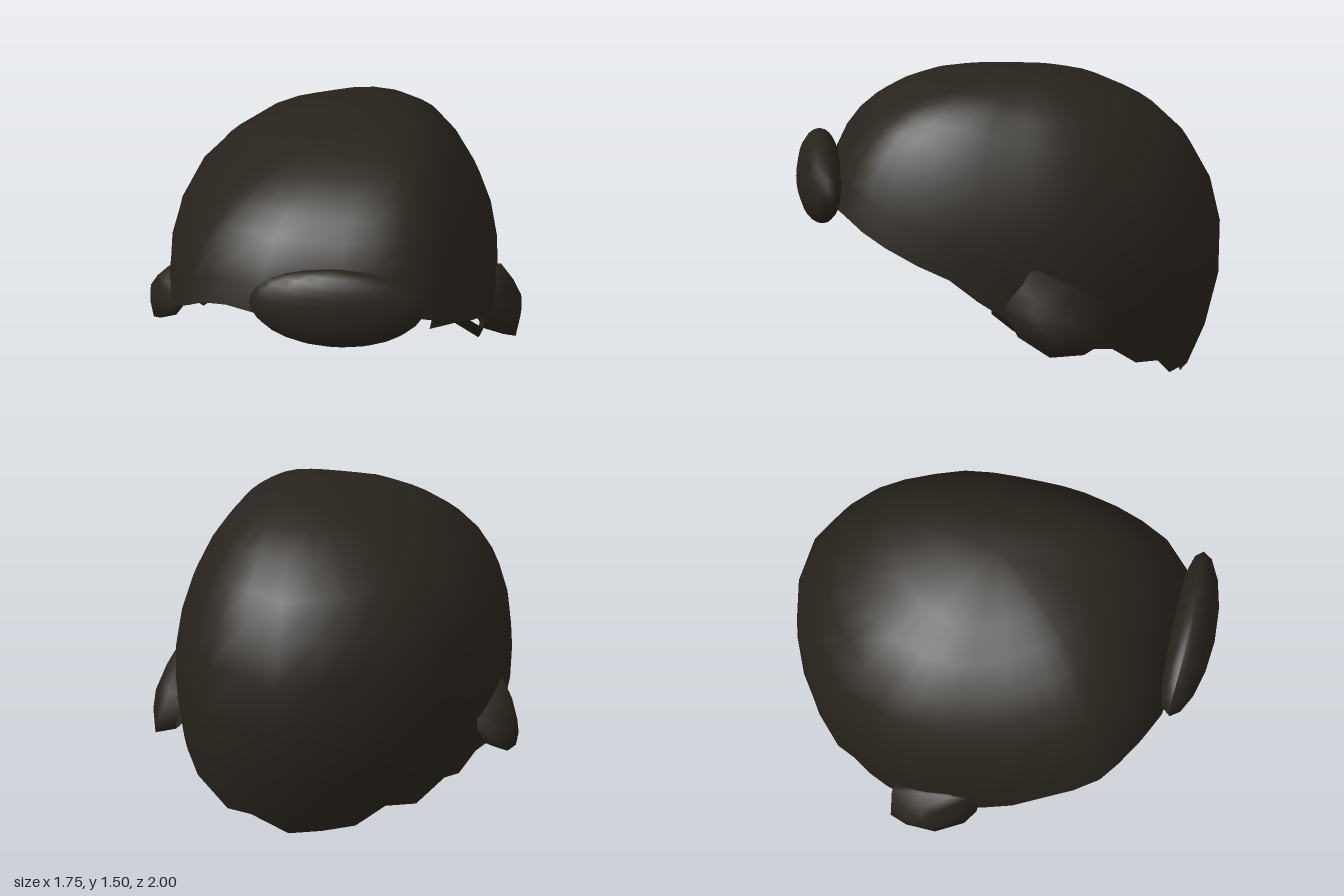
import * as THREE from 'three';
import { mergeVertices } from 'three/addons/utils/BufferGeometryUtils.js';

const material = new THREE.MeshStandardMaterial({ color: 0x28231c, side: THREE.DoubleSide });

// Skin a list of closed rings (each an array of [x, y, z]), smooth shaded
function loft(rings, name) {
  const n = rings[0].length, index = [];
  for (let i = 0; i < rings.length - 1; i++) {
    for (let j = 0; j < n; j++) {
      const k = (j + 1) % n;
      const a = i * n + j, b = i * n + k, c = a + n, d = b + n;
      index.push(a, b, d, a, d, c);
    }
  }
  let geometry = new THREE.BufferGeometry();
  geometry.setAttribute('position', new THREE.Float32BufferAttribute(rings.flat(2), 3));
  geometry.setIndex(index);
  geometry = mergeVertices(geometry, 1e-4);
  geometry.computeVertexNormals();
  const mesh = new THREE.Mesh(geometry, material);
  mesh.name = name;
  return mesh;
}

// Widest outline of the cap with the height of its ragged rim: [x, z, rimY]
const outline = [
  [0.12, 0.87, 0.9], [0.3, 0.86, 0.9], [0.47, 0.81, 0.9], [0.58, 0.71, 0.84],
  [0.64, 0.6, 0.78], [0.7, 0.45, 0.71], [0.74, 0.3, 0.65], [0.76, 0.17, 0.55],
  [0.77, 0.05, 0.47], [0.775, -0.08, 0.4], [0.77, -0.2, 0.34], [0.75, -0.35, 0.3],
  [0.7, -0.5, 0.28], [0.64, -0.64, 0.19], [0.57, -0.76, 0.18], [0.46, -0.87, 0.085],
  [0.3, -0.97, 0.09], [0.1, -1, 0], [-0.1, -0.97, 0.02], [-0.28, -0.9, 0.045],
  [-0.42, -0.82, 0.145], [-0.56, -0.7, 0.135], [-0.65, -0.55, 0.24], [-0.7, -0.45, 0.24],
  [-0.74, -0.35, 0.33], [-0.765, -0.2, 0.34], [-0.77, -0.08, 0.4], [-0.76, 0.05, 0.47],
  [-0.74, 0.2, 0.55], [-0.71, 0.34, 0.66], [-0.67, 0.48, 0.73], [-0.62, 0.6, 0.8],
  [-0.55, 0.68, 0.86], [-0.43, 0.77, 0.9], [-0.28, 0.84, 0.9], [-0.1, 0.86, 0.9],
];

// Open dome: each meridian rises from the rim to the crown, boxier at the front
function hairCap() {
  const rows = 9, waist = 0.65, midZ = -0.05, rings = [];
  for (let i = 0; i <= rows; i++) {
    rings.push(outline.map(([x, z, rimY]) => {
      const upper = 2.15 + 0.4 * Math.max(0, z) / 0.87;
      const shape = (s) => (s < 0 ? [1.08, 2] : [0.85, upper]);
      const [rimH, rimP] = shape(rimY - waist);
      const start = Math.sign(rimY - waist) * Math.asin((Math.abs(rimY - waist) / rimH) ** (rimP / 2));
      const a = THREE.MathUtils.lerp(start, Math.PI / 2, i / rows);
      const [h, p] = shape(a);
      const t = Math.sign(a) * Math.abs(Math.sin(a)) ** (2 / p);
      const f = Math.max(0, Math.cos(a)) ** (2 / p);
      const lean = 0.16 * Math.max(0, t) ** 4;
      return [lean + x * f, waist + h * t, midZ + (z - midZ) * f];
    }));
  }
  return loft(rings, 'hairCap');
}

// Flattened oval roll over the forehead, its ends bent slightly back
function frontRoll() {
  const geometry = new THREE.SphereGeometry(1, 16, 14);
  geometry.scale(0.415, 0.2, 0.108);
  const p = geometry.attributes.position;
  for (let i = 0; i < p.count; i++) p.setZ(i, p.getZ(i) - 0.17 * p.getX(i) ** 2);
  geometry.computeVertexNormals();
  const mesh = new THREE.Mesh(geometry, material);
  mesh.position.set(0.115, 0.985, 0.892);
  mesh.name = 'frontRoll';
  return mesh;
}

// Side tuft edge on the +x side: [x, y, z]
const tuftEdge = [
  [0.74, 0.6, 0.05], [0.77, 0.5, 0.04], [0.81, 0.39, -0.02], [0.855, 0.3, -0.17],
  [0.85, 0.31, -0.33], [0.83, 0.36, -0.42], [0.76, 0.54, -0.43],
  [0.77, 0.63, -0.27], [0.78, 0.71, -0.11], [0.75, 0.65, 0],
];

// Hollow bulging tuft, open towards the head
function sideTuft(name, side, place, depth) {
  const centre = [0.875, 0.49, -0.23];
  const toward = (k, shiftX) => tuftEdge.map((v) =>
    v.map((c, i) => c + (centre[i] - c) * k + (i === 0 ? shiftX : 0)));
  const rings = [toward(0.12, -depth), toward(0, 0), toward(0.5, 0.01), toward(1, 0)];
  const placed = rings.map((ring) => {
    const moved = ring.map(([x, y, z]) => [side * x, ...place(y, z)]);
    return side < 0 ? moved.reverse() : moved;
  });
  return loft(placed, name);
}

// Folded lock curling under the rim beside one tuft
function innerLock() {
  const edge = [[0.55, 0.73], [0.5, 0.51], [0.62, 0.55], [0.73, 0.48], [0.74, 0.6], [0.7, 0.71]];
  const rings = [0.1, 0, -0.14].map((z, i) =>
    edge.map(([x, y]) => [x - 0.025 * i, y - 0.09 * i, z]));
  return loft(rings, 'innerLock');
}

export function createModel() {
  const model = new THREE.Group();
  model.name = 'hair';
  model.add(
    hairCap(),
    frontRoll(),
    sideTuft('leftTuft', 1, (y, z) => [y, z], 0.1),
    sideTuft('rightTuft', -1, (y, z) => [0.32 + (y - 0.3) * 0.74, z * 0.87], 0.08),
    innerLock(),
  );
  return model;
}
